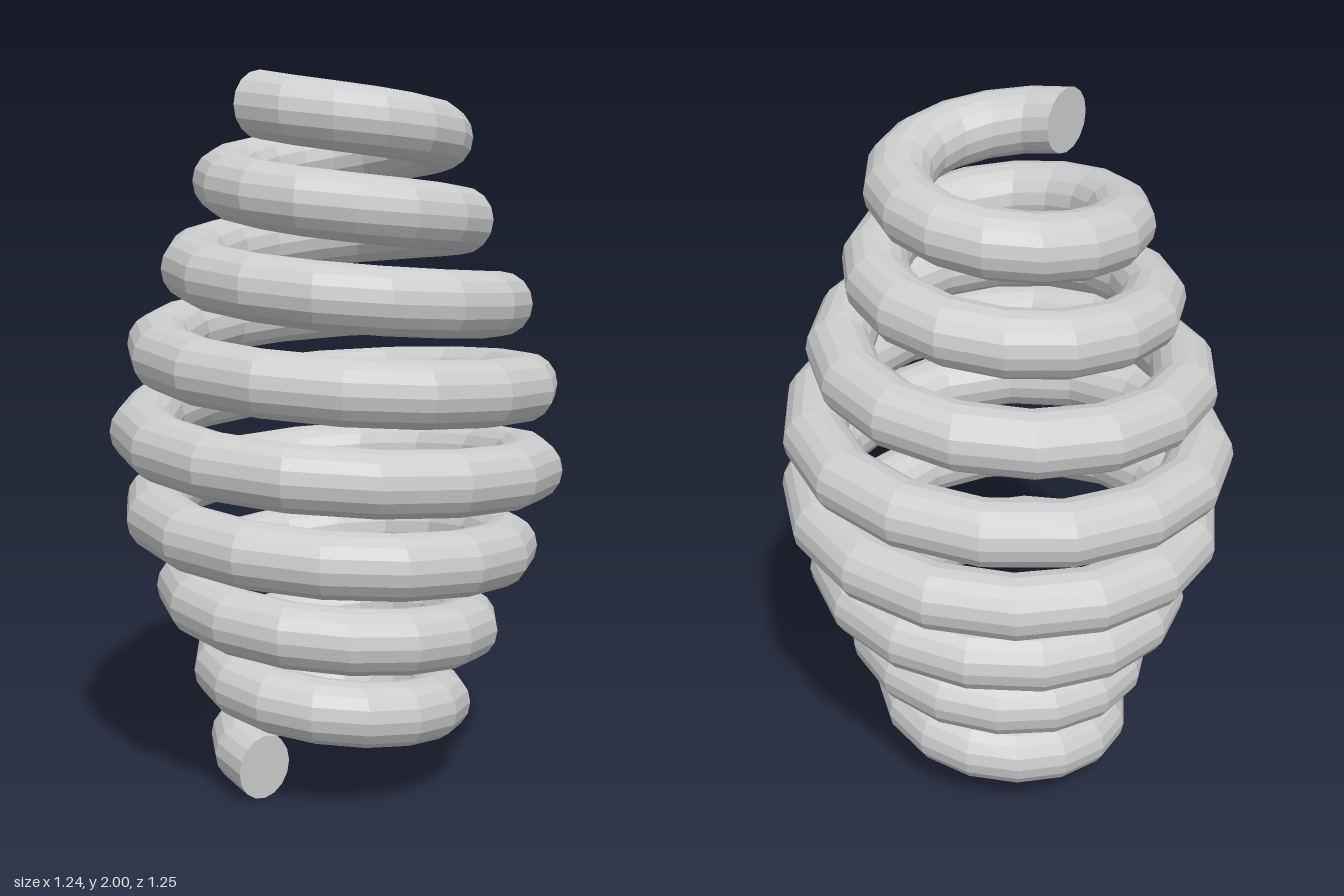
import * as THREE from 'three';

const TURNS = 8, STEPS = 125, SIDES = 16, WIRE = 0.09;

// Coil radius swells from the ends to the middle
const coilRadius = (t) => 0.275 + 0.27 * Math.sin(Math.PI * t) ** 2;

// Point on the wire's upright round section: t along the spring, b around the wire
function wirePoint(t, b, wire) {
  const a = t * TURNS * Math.PI * 2;
  const r = coilRadius(t) + wire * Math.cos(b);
  const y = WIRE + t * (2 - 2 * WIRE) + wire * Math.sin(b);
  return [-r * Math.cos(a), y, -r * Math.sin(a)];
}

function buildGeometry(positions, index) {
  const g = new THREE.BufferGeometry();
  g.setAttribute('position', new THREE.Float32BufferAttribute(positions, 3));
  g.setIndex(index);
  const flat = g.toNonIndexed();
  flat.computeVertexNormals();
  return flat;
}

// Wire swept along the spiral
function coilGeometry() {
  const positions = [], index = [];
  for (let i = 0; i <= STEPS; i++) {
    for (let j = 0; j < SIDES; j++) {
      positions.push(...wirePoint(i / STEPS, (j / SIDES) * Math.PI * 2, WIRE));
      if (i === STEPS) continue;
      const k = (j + 1) % SIDES;
      const p = i * SIDES + j, q = i * SIDES + k;
      index.push(p, q, q + SIDES, p, q + SIDES, p + SIDES);
    }
  }
  return buildGeometry(positions, index);
}

// Flat cut face at one end of the wire
function capGeometry(t) {
  const positions = wirePoint(t, 0, 0), index = [];
  for (let j = 0; j < SIDES; j++) {
    positions.push(...wirePoint(t, (j / SIDES) * Math.PI * 2, WIRE));
    const p = j + 1, q = ((j + 1) % SIDES) + 1;
    index.push(0, ...(t === 0 ? [q, p] : [p, q]));
  }
  return buildGeometry(positions, index);
}

export function createModel() {
  const steel = new THREE.MeshStandardMaterial({ color: 0xcccccc, flatShading: true });
  steel.name = 'steel grey';

  const spring = new THREE.Group();
  spring.name = 'spring';
  const add = (name, geometry) => {
    const mesh = new THREE.Mesh(geometry, steel);
    mesh.name = name;
    spring.add(mesh);
  };
  add('coil', coilGeometry());
  add('bottomEnd', capGeometry(0));
  add('topEnd', capGeometry(1));
  return spring;
}
